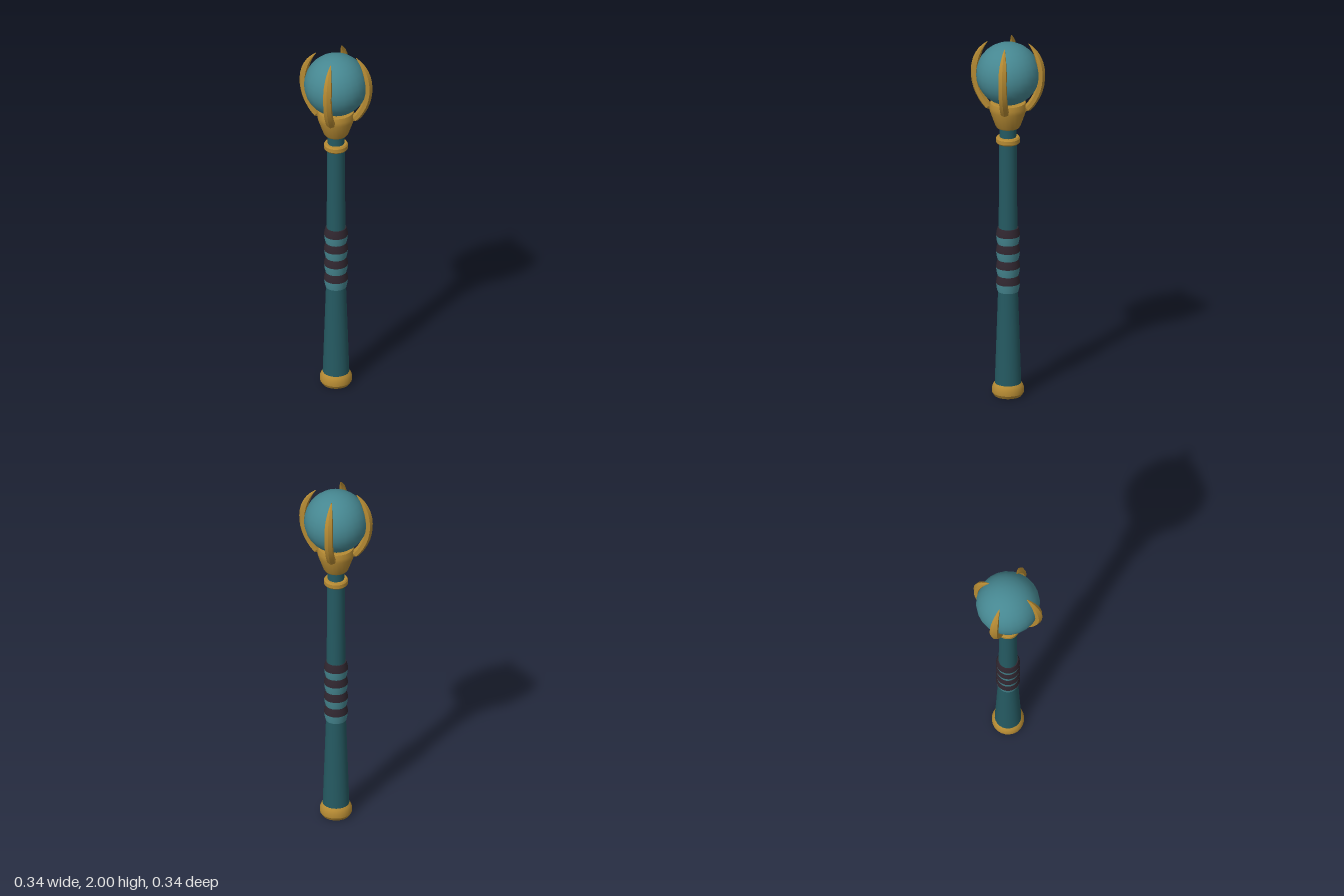
import * as THREE from 'three';
import { toCreasedNormals } from 'three/addons/utils/BufferGeometryUtils.js';

const material = (name, color, flatShading = false) => {
  const m = new THREE.MeshStandardMaterial({ color });
  m.name = name;
  m.flatShading = flatShading;
  return m;
};

// Round part turned from [radius, height] points, listed bottom to top
function turned(name, points, mat) {
  const profile = points.map(([r, y]) => new THREE.Vector2(r, y));
  const geometry = toCreasedNormals(new THREE.LatheGeometry(profile, 24), 0.5);
  const mesh = new THREE.Mesh(geometry, mat);
  mesh.name = name;
  return mesh;
}

// Six-sided curved prong: loft along a path in the radial plane
function clawGeometry() {
  const path = new THREE.CatmullRomCurve3([
    [0.085, 1.612], [0.128, 1.662], [0.165, 1.735], [0.179, 1.82],
    [0.169, 1.9], [0.143, 1.96], [0.11, 2.0],
  ].map(([x, y]) => new THREE.Vector3(x, y, 0)));
  const rings = 14, sides = 6, positions = [], indices = [];
  for (let i = 0; i <= rings; i++) {
    const t = i / rings;
    const p = path.getPointAt(t), d = path.getTangentAt(t);
    const taper = i === 0 ? 0.1 : t < 0.65 ? 1 : 1 - 0.93 * ((t - 0.65) / 0.35) ** 1.7;
    for (let j = 0; j < sides; j++) {
      const a = (j / sides) * Math.PI * 2;
      const n = Math.cos(a) * 0.021 * taper;
      positions.push(p.x + d.y * n, p.y - d.x * n, Math.sin(a) * 0.024 * taper);
      if (i < rings) {
        const k = i * sides + j, next = i * sides + (j + 1) % sides;
        indices.push(k, k + sides, next, next, k + sides, next + sides);
      }
    }
  }
  const geometry = new THREE.BufferGeometry();
  geometry.setAttribute('position', new THREE.Float32BufferAttribute(positions, 3));
  geometry.setIndex(indices);
  geometry.computeVertexNormals();
  return toCreasedNormals(geometry, 0.5);
}

export function createModel() {
  const gold = material('gold', 0xb58a33);
  const darkTeal = material('dark teal', 0x255a62);
  const teal = material('teal', 0x468791);
  const wrap = material('dark wrap', 0x30262f);

  const model = new THREE.Group();
  model.name = 'scepter';

  // Shaft and pommel
  model.add(
    turned('pommel', [[0, 0], [0.074, 0], [0.085, 0.018], [0.086, 0.042], [0.078, 0.062], [0.07, 0.072], [0, 0.072]], gold),
    turned('shaft', [[0.071, 0.06], [0.053, 0.6], [0.05, 0.95], [0.047, 1.44]], darkTeal),
    turned('neck', [[0.044, 1.44], [0.044, 1.535]], darkTeal),
    turned('collar', [[0.045, 1.43], [0.058, 1.43], [0.064, 1.437], [0.064, 1.458], [0.058, 1.466], [0.043, 1.466]], gold),
  );

  // Grip: four flared segments, each a light lower half and a dark upper half
  const grip = new THREE.Group();
  grip.name = 'grip';
  for (let i = 0; i < 4; i++) {
    const y = 0.59 + i * 0.09;
    grip.add(
      turned('gripBand', [[0.05, y], [0.056, y], [0.061, y + 0.022], [0.064, y + 0.046]], teal),
      turned('gripWrap', [[0.064, y + 0.046], [0.062, y + 0.066], [0.055, y + 0.09], [0.048, y + 0.09]], wrap),
    );
  }
  model.add(grip);

  // Cup holding the orb
  model.add(turned('cup', [[0.04, 1.52], [0.06, 1.52], [0.067, 1.53], [0.097, 1.615], [0.1, 1.638], [0.094, 1.662], [0.078, 1.664], [0, 1.645]], gold));

  const orb = new THREE.Mesh(new THREE.SphereGeometry(0.17, 24, 16), teal);
  orb.name = 'orb';
  orb.position.y = 1.823;
  model.add(orb);

  // Four claws on the diagonals
  const claw = clawGeometry();
  for (let i = 0; i < 4; i++) {
    const mesh = new THREE.Mesh(claw, gold);
    mesh.name = 'claw';
    mesh.rotation.y = Math.PI / 4 + i * Math.PI / 2;
    model.add(mesh);
  }
  return model;
}
